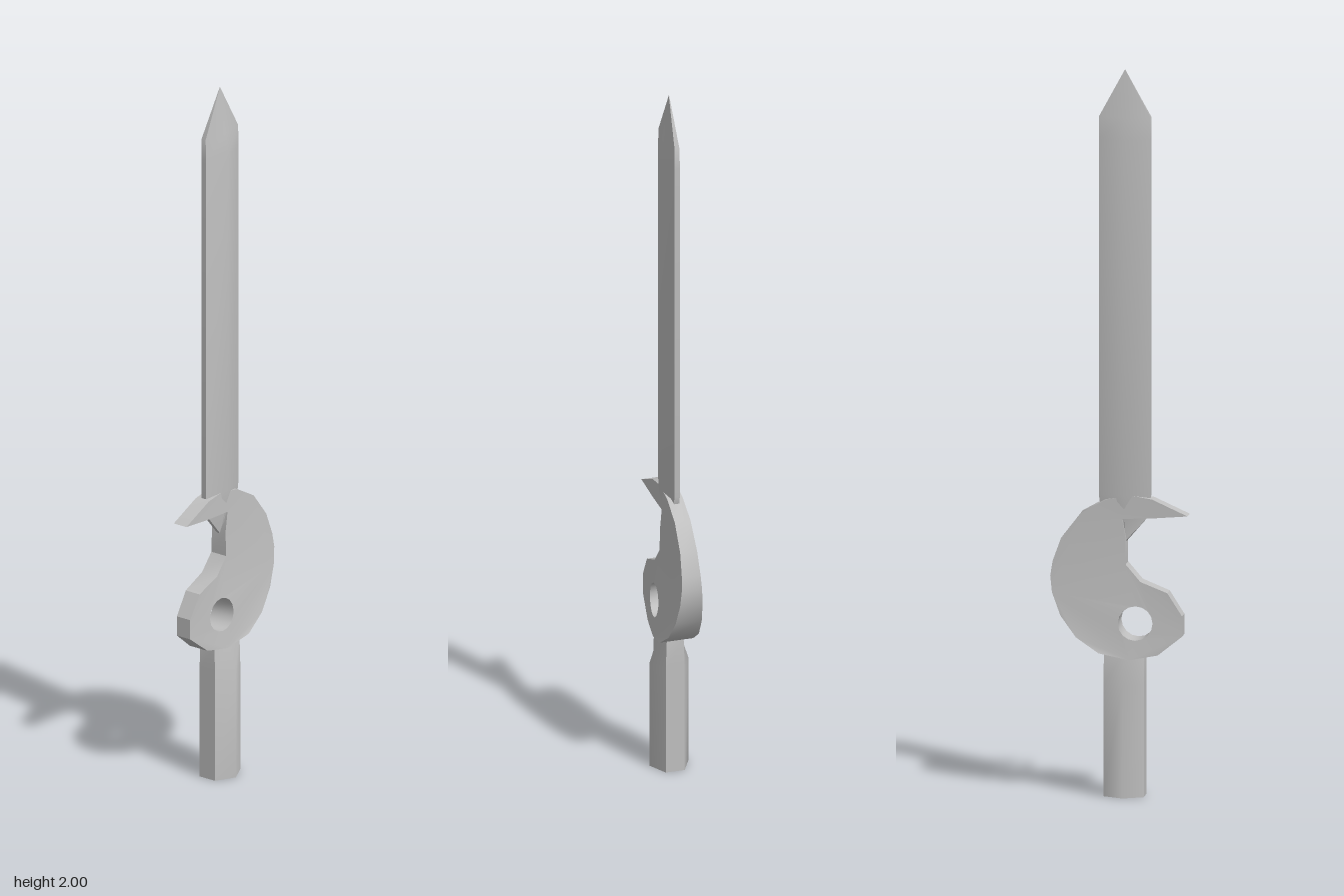
import * as THREE from 'three';
import { toCreasedNormals } from 'three/addons/utils/BufferGeometryUtils.js';

const AXIS_X = -0.013;

// Six-sided bar through sections [y, half width, half edge thickness, half ridge thickness]
function loftBar(sections, crease) {
  const pos = [], index = [];
  for (const [y, w, e, r] of sections) {
    pos.push(w, y, e, 0, y, r, -w, y, e, -w, y, -e, 0, y, -r, w, y, -e);
  }
  const last = (sections.length - 1) * 6;
  for (let s = 0; s < last; s += 6) {
    for (let i = 0; i < 6; i++) {
      const a = s + i, b = s + (i + 1) % 6;
      index.push(a, a + 6, b, b, a + 6, b + 6);
    }
  }
  for (let i = 1; i < 5; i++) {
    index.push(0, i, i + 1, last, last + i + 1, last + i);
  }
  const geometry = new THREE.BufferGeometry();
  geometry.setAttribute('position', new THREE.Float32BufferAttribute(pos, 3));
  geometry.setIndex(index);
  geometry.translate(AXIS_X, 0, 0);
  return toCreasedNormals(geometry, crease);
}

// Curled plate with a hooked top, a notch and a round eye
function guardGeometry() {
  const outline = [
    [-0.187, 0.776], [-0.09, 0.82], [-0.03, 0.83], [0.037, 0.817], [0.106, 0.778],
    [0.159, 0.709], [0.182, 0.645], [0.188, 0.605], [0.183, 0.56], [0.159, 0.497],
    [0.116, 0.439], [0.053, 0.397], [-0.03, 0.379], [-0.106, 0.392], [-0.172, 0.444],
    [-0.172, 0.5], [-0.132, 0.563], [-0.058, 0.593], [-0.018, 0.64], [-0.018, 0.709],
    [-0.008, 0.765], [-0.09, 0.768],
  ].map(([x, y]) => new THREE.Vector2(x, y)).reverse();
  const shape = new THREE.Shape(outline);
  const eye = new THREE.Path();
  eye.absarc(-0.045, 0.479, 0.047, 0, Math.PI * 2, true);
  shape.holes.push(eye);
  const geometry = new THREE.ExtrudeGeometry(shape, { depth: 2, bevelEnabled: false, curveSegments: 8 });
  geometry.translate(0, 0, -1);
  // The plate swells towards the bottom and thins towards the left lobe
  const p = geometry.attributes.position;
  for (let i = 0; i < p.count; i++) {
    const side = THREE.MathUtils.clamp((p.getX(i) + 0.18) / 0.23, 0, 1);
    const drop = ((0.83 - p.getY(i)) / 0.45) ** 2;
    p.setZ(i, p.getZ(i) * (0.022 + 0.028 * side * drop));
  }
  return toCreasedNormals(geometry, 0.5);
}

export function createModel() {
  const group = new THREE.Group();
  const steel = new THREE.MeshStandardMaterial({ color: 0xc0c0c0 });
  steel.name = 'steel';
  const add = (name, geometry) => {
    const mesh = new THREE.Mesh(geometry, steel);
    mesh.name = name;
    group.add(mesh);
  };

  // Blade: tapered root hidden in the guard, long ridged body, pointed tip
  add('blade', loftBar([
    [0.7, 0.004, 0.004, 0.012],
    [0.768, 0.063, 0.006, 0.018],
    [0.83, 0.071, 0.008, 0.029],
    [1.81, 0.071, 0.008, 0.029],
    [1.87, 0.071, 0.007, 0.02],
    [2, 0.0005, 0.0005, 0.0005],
  ], 0.75));

  add('guard', guardGeometry());

  // Grip: thick hexagonal bar whose ridges slope in under the guard
  add('grip', loftBar([
    [0, 0.055, 0.027, 0.055],
    [0.31, 0.055, 0.027, 0.055],
    [0.395, 0.055, 0.024, 0.028],
    [0.42, 0.05, 0.02, 0.024],
  ], 1));

  return group;
}
